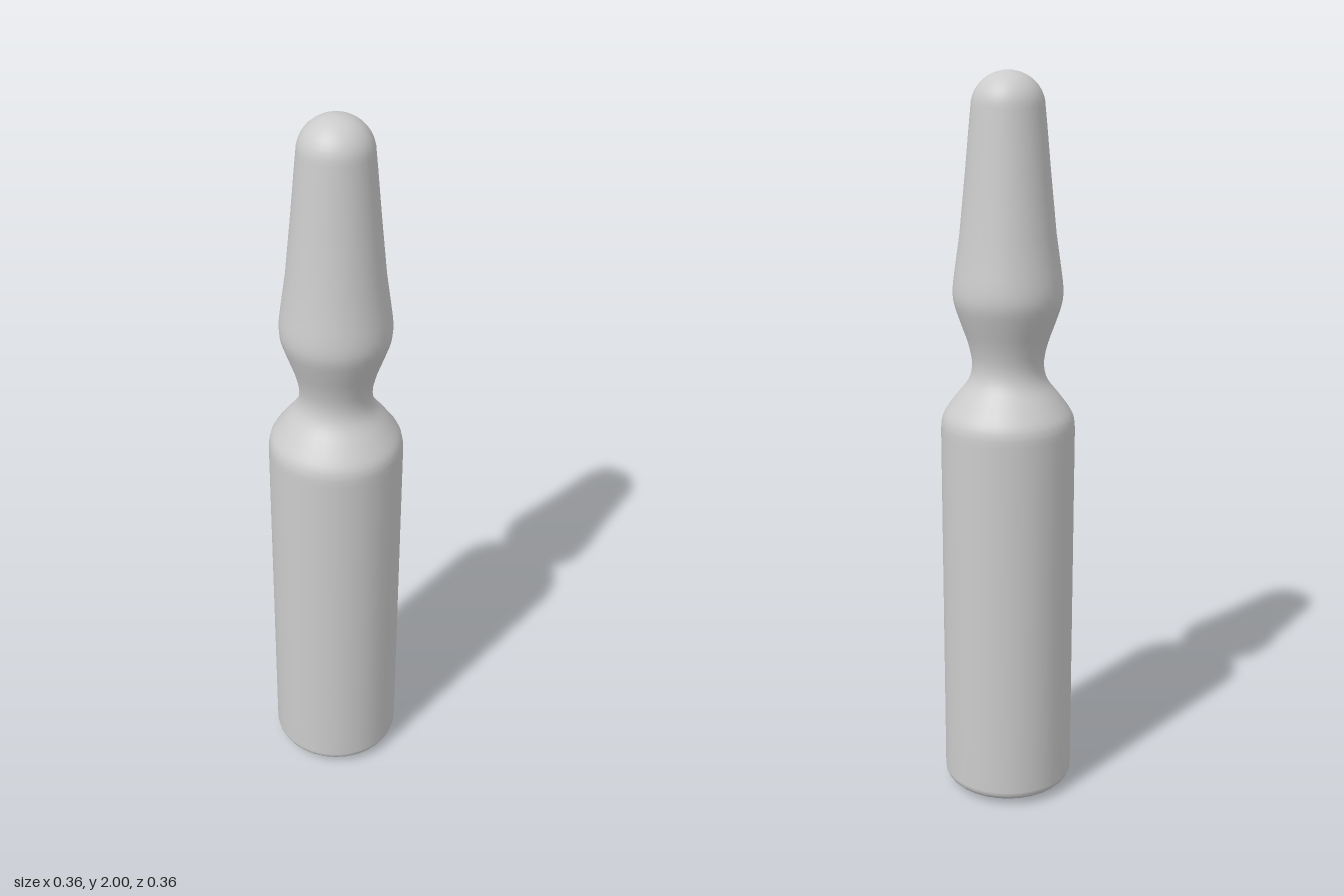
import * as THREE from 'three';

const SEGMENTS = 32;

// Turns [radius, height] pairs, bottom to top, into a smooth lathed part
function turned(name, profile, material) {
  const points = profile.map(([r, y]) => new THREE.Vector2(r, y));
  const mesh = new THREE.Mesh(new THREE.LatheGeometry(points, SEGMENTS), material);
  mesh.name = name;
  return mesh;
}

// Points on a rounded corner: centre, radii and start/end angles in degrees
function arc(cx, cy, rx, ry, from, to, steps) {
  return Array.from({ length: steps + 1 }, (_, i) => {
    const a = THREE.MathUtils.degToRad(from + ((to - from) * i) / steps);
    return [Math.max(0, cx + rx * Math.cos(a)), cy + ry * Math.sin(a)];
  });
}

// Smooth curve through a few [radius, height] pairs
function curve(pairs, steps) {
  const spline = new THREE.SplineCurve(pairs.map(([r, y]) => new THREE.Vector2(r, y)));
  return spline.getPoints(steps).map((p) => [p.x, p.y]);
}

export function createModel() {
  const group = new THREE.Group();
  group.name = 'ampoule';
  const glass = new THREE.MeshStandardMaterial({ color: 0xcccccc, side: THREE.DoubleSide });

  const profile = [
    // base with a small raised drop at its centre
    [0, 0.003], [0.03, 0.006], [0.06, 0.014], [0.085, 0.018], [0.12, 0.017],
    // rounded foot and straight body
    ...arc(0.15, 0.046, 0.031, 0.03, -90, 0, 5),
    [0.181, 0.3], [0.181, 0.7], [0.181, 1.06],
    // shoulder, pinched neck and bulb
    ...curve([
      [0.18, 1.08], [0.172, 1.11], [0.14, 1.155], [0.106, 1.2], [0.096, 1.245],
      [0.106, 1.3], [0.127, 1.36], [0.143, 1.41], [0.145, 1.45], [0.139, 1.5],
    ], 30),
    // tapering stem
    [0.126, 1.59], [0.11, 1.75], [0.099, 1.87],
    // domed tip
    ...arc(0, 1.91, 0.095, 0.09, 0, 90, 10),
  ];
  group.add(turned('ampouleBody', profile, glass));
  return group;
}
